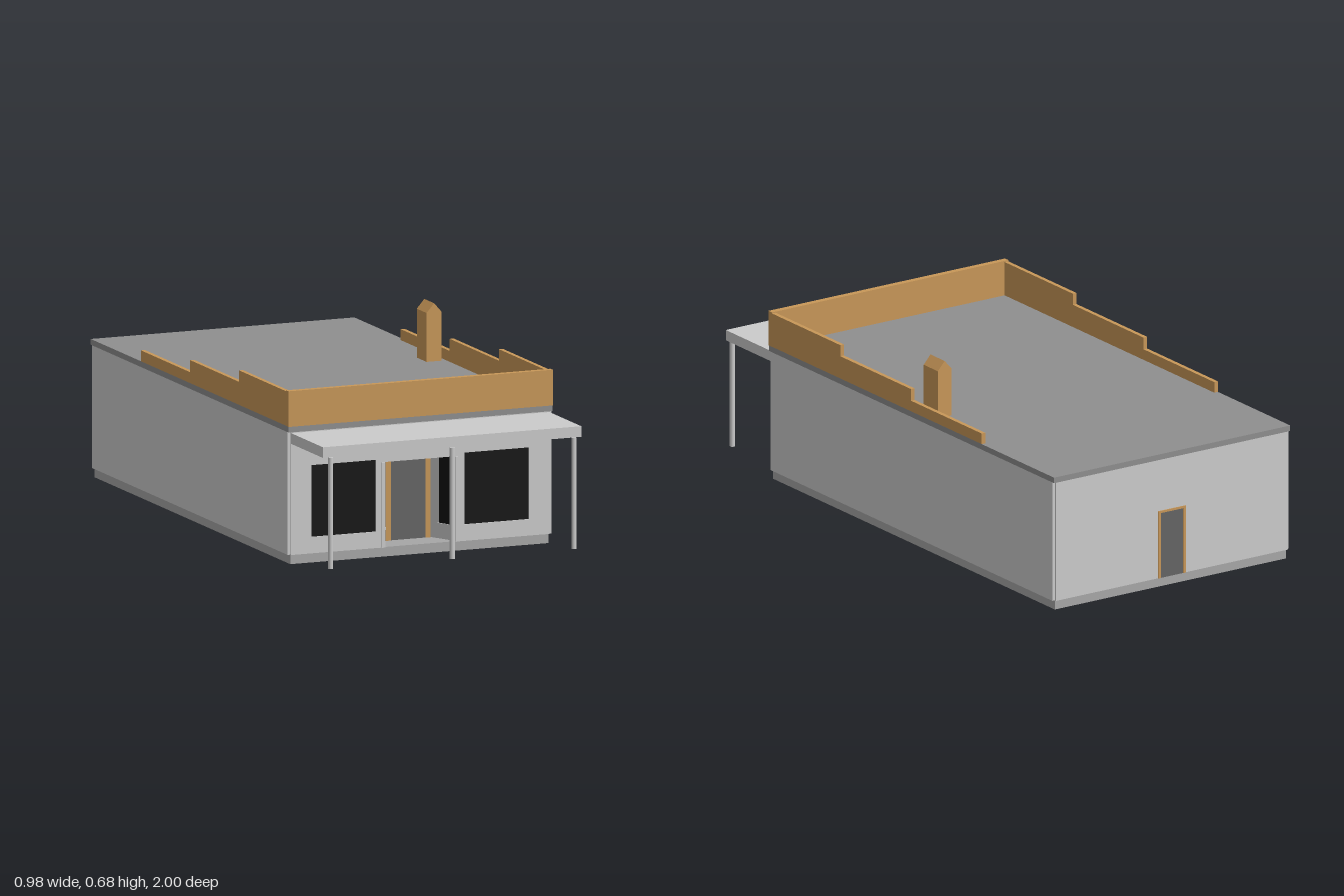
import * as THREE from 'three';

const mat = (color) => new THREE.MeshStandardMaterial({ color });

export function createModel() {
  const model = new THREE.Group();
  const grey = mat(0xcccccc), stone = mat(0xa7a7a7), roofing = mat(0x8f8f8f);
  const wood = mat(0xc89758), glass = mat(0x0f0f0f), doorPaint = mat(0x646464);

  const add = (name, geometry, material) => {
    const mesh = new THREE.Mesh(geometry, material);
    mesh.name = name;
    model.add(mesh);
    return mesh;
  };
  // Box given by its limits on each axis
  const box = (name, material, x0, x1, y0, y1, z0, z1) => {
    const mesh = add(name, new THREE.BoxGeometry(x1 - x0, y1 - y0, z1 - z0), material);
    mesh.position.set((x0 + x1) / 2, (y0 + y1) / 2, (z0 + z1) / 2);
    return mesh;
  };
  const polygon = (points) => new THREE.Shape(points.map(([x, y]) => new THREE.Vector2(x, y)));
  const rect = (x0, x1, y0, y1) => polygon([[x0, y0], [x1, y0], [x1, y1], [x0, y1]]);

  const floor = 0.033, wallTop = 0.46, roofTop = 0.48, entryTop = 0.33;

  // Foundation and roof slab
  box('foundation', stone, -0.48, 0.48, 0, floor, -0.99, 0.705);
  box('roof', roofing, -0.49, 0.49, wallTop, roofTop, -1, 0.714);

  // Walls: a footprint with a splayed entrance notch, solid above it
  const footprint = polygon([
    [-0.49, 0.99], [-0.49, -0.705], [-0.48, -0.705], [-0.48, -0.69], [-0.13, -0.69], [-0.085, -0.6],
    [0.085, -0.6], [0.13, -0.69], [0.48, -0.69], [0.48, -0.705], [0.49, -0.705], [0.49, 0.99],
    [0.48, 0.99], [0.48, 0.997], [-0.48, 0.997], [-0.48, 0.99]]);
  const walls = add('walls', new THREE.ExtrudeGeometry(footprint,
    { depth: entryTop - floor, bevelEnabled: false }).rotateX(-Math.PI / 2), grey);
  walls.position.y = floor;
  box('upperWalls', grey, -0.49, 0.49, entryTop, wallTop, -0.99, 0.705);
  box('upperBackWall', grey, -0.48, 0.48, entryTop, wallTop, -0.997, -0.98);

  // Shop front with window and entrance openings
  const facade = polygon([[-0.48, floor], [-0.13, floor], [-0.13, entryTop], [0.13, entryTop],
    [0.13, floor], [0.48, floor], [0.48, wallTop], [-0.48, wallTop]]);
  for (const s of [-1, 1]) facade.holes.push(rect(s * 0.285 - 0.12, s * 0.285 + 0.12, 0.09, 0.34));
  add('shopFront', new THREE.ExtrudeGeometry(facade, { depth: 0.022, bevelEnabled: false }), grey)
    .position.z = 0.69;

  for (const s of [-1, 1]) {
    // Display window
    box('displayWindow', glass, s * 0.285 - 0.121, s * 0.285 + 0.121, 0.089, 0.341, 0.695, 0.707);
    // Trim at the edge of the entrance
    box('entranceTrim', grey, s * 0.1375 - 0.0075, s * 0.1375 + 0.0075, floor, entryTop, 0.7, 0.716);
    // Splayed side of the entrance: pane over a low sill
    const side = new THREE.Group();
    side.name = 'entranceSide';
    side.position.set(s * 0.1075, 0, 0.645);
    side.rotation.y = s * Math.atan2(0.045, 0.09);
    const pane = new THREE.Mesh(new THREE.BoxGeometry(0.006, entryTop - 0.085, 0.055), glass);
    pane.position.set(0, (entryTop + 0.085) / 2, 0.018);
    pane.name = 'sideWindow';
    const sill = new THREE.Mesh(new THREE.BoxGeometry(0.014, 0.01, 0.06), grey);
    sill.position.set(0, 0.083, 0.018);
    sill.name = 'sideSill';
    side.add(pane, sill);
    model.add(side);
    // Front door jamb
    box('frontDoorJamb', wood, s * 0.074 - 0.009, s * 0.074 + 0.009, floor, entryTop, 0.595, 0.608);
    // Back door jamb
    box('backDoorJamb', wood, s * 0.052 - 0.005, s * 0.052 + 0.005, floor, 0.275, -1, -0.99);
  }
  box('frontDoor', doorPaint, -0.066, 0.066, floor, entryTop, 0.595, 0.604);
  box('backDoor', doorPaint, -0.048, 0.048, floor, 0.268, -0.9985, -0.99);
  box('backDoorHead', wood, -0.057, 0.057, 0.267, 0.275, -1, -0.99);

  // Canopy on three posts
  box('canopy', grey, -0.48, 0.48, 0.42, 0.457, 0.7, 0.988);
  for (const x of [-0.452, 0, 0.452]) {
    add('canopyPost', new THREE.CylinderGeometry(0.009, 0.009, 0.387, 12), grey)
      .position.set(x, 0.2265, 0.989);
  }

  // Parapet: front wall and sides stepping down to the back
  box('frontParapet', wood, -0.491, 0.491, roofTop, 0.604, 0.695, 0.716);
  const profile = polygon([[-0.7, roofTop], [0.565, roofTop], [0.565, 0.518], [0.14, 0.518],
    [0.14, 0.56], [-0.285, 0.56], [-0.285, 0.6], [-0.7, 0.6]]);
  for (const x of [-0.49, 0.475]) {
    add('sideParapet', new THREE.ExtrudeGeometry(profile, { depth: 0.015, bevelEnabled: false })
      .rotateY(Math.PI / 2), wood).position.x = x;
  }

  // Gabled chimney
  const gable = polygon([[0.402, roofTop], [0.458, roofTop], [0.458, 0.65], [0.43, 0.682], [0.402, 0.65]]);
  add('chimney', new THREE.ExtrudeGeometry(gable, { depth: 0.085, bevelEnabled: false }), wood)
    .position.z = -0.255;

  return model;
}
